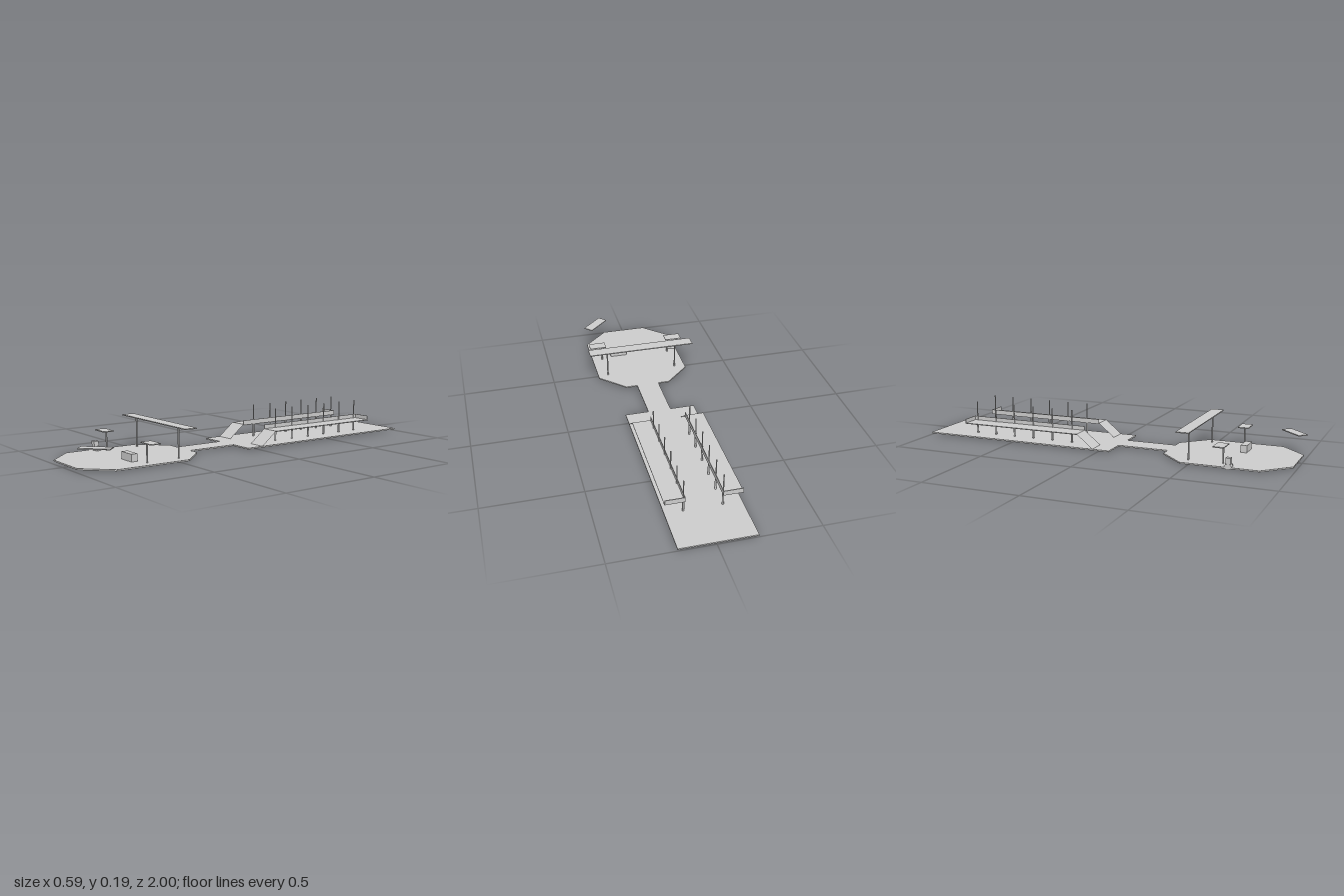
import * as THREE from 'three';

export function createModel() {
  const model = new THREE.Group();
  const grey = new THREE.MeshStandardMaterial({ color: 0xcccccc });
  grey.name = 'light grey';
  const greySheet = new THREE.MeshStandardMaterial({ color: 0xcccccc, side: THREE.DoubleSide });
  greySheet.name = 'light grey sheet';
  const FLOOR = 0.013;

  const add = (name, geometry, material = grey, parent = model) => {
    const mesh = new THREE.Mesh(geometry, material);
    mesh.name = name;
    parent.add(mesh);
    return mesh;
  };
  // Box given by its limits on each axis
  const box = (name, x0, x1, y0, y1, z0, z1, parent = model) => {
    const mesh = add(name, new THREE.BoxGeometry(x1 - x0, y1 - y0, z1 - z0), grey, parent);
    mesh.position.set((x0 + x1) / 2, (y0 + y1) / 2, (z0 + z1) / 2);
    return mesh;
  };
  const post = (name, x, z, y0, y1, r, parent = model) => {
    const mesh = add(name, new THREE.CylinderGeometry(r, r, y1 - y0, 12), grey, parent);
    mesh.position.set(x, (y0 + y1) / 2, z);
    return mesh;
  };

  // Ground slab: long platform, neck and octagonal plaza
  const outline = [
    [-0.196, -1], [0.18, -1], [0.18, 0.064], [0.055, 0.064], [0.055, 0.334], [0.117, 0.334],
    [0.247, 0.464], [0.247, 0.854], [0.117, 0.984], [-0.127, 0.984], [-0.26, 0.854],
    [-0.26, 0.464], [-0.127, 0.334], [-0.066, 0.334], [-0.066, 0.064], [-0.196, 0.064],
  ].map(([x, z]) => new THREE.Vector2(x, z));
  const slab = new THREE.ExtrudeGeometry(new THREE.Shape(outline), { depth: 0.007, bevelEnabled: false });
  slab.rotateX(Math.PI / 2).translate(0, FLOOR, 0);
  add('groundSlab', slab);

  // Two mirrored raised walkways, each with a ramp, edge walls and posts
  for (const side of [-1, 1]) {
    const walkway = new THREE.Group();
    walkway.name = side < 0 ? 'rightWalkway' : 'leftWalkway';
    walkway.position.x = -0.006;
    model.add(walkway);
    const span = (a, b) => (side < 0 ? [-b, -a] : [a, b]);
    box('deck', ...span(0.09, 0.189), 0.079, 0.083, -0.78, -0.115, walkway);
    box('innerParapet', ...span(0.09, 0.093), 0.083, 0.104, -0.78, -0.115, walkway);
    box('endParapet', ...span(0.09, 0.187), 0.083, 0.104, -0.78, -0.776, walkway);

    const ramp = new THREE.PlaneGeometry(0.1, Math.hypot(0.088, 0.07));
    ramp.rotateX(-Math.atan2(0.088, 0.07));
    add('ramp', ramp, greySheet, walkway).position.set(side * 0.1395, 0.048, -0.071);

    for (let i = 0; i < 6; i++) {
      const z = -0.187 - i * 0.1146;
      post('lowerPost', side * 0.095, z, FLOOR, 0.08, 0.005, walkway);
      post('upperPost', side * 0.095, z, 0.08, 0.185, 0.003, walkway);
    }
  }

  // Entrance gate across the plaza
  box('gateBeam', -0.296, 0.293, 0.165, 0.17, 0.453, 0.518);
  for (const x of [-0.201, 0.191]) {
    post('gatePost', x, 0.489, FLOOR, 0.165, 0.004);
    post('canopyPost', x, 0.663, FLOOR, 0.106, 0.004);
  }

  // Small canopies and the floating sign plate
  box('rightCanopy', -0.276, -0.184, 0.106, 0.111, 0.63, 0.686);
  box('leftCanopy', 0.171, 0.263, 0.106, 0.111, 0.63, 0.686);
  const plate = box('cornerPlate', 0.104, 0.256, 0.106, 0.111, 0.895, 0.95);
  plate.position.z = 0.922;
  plate.rotation.y = Math.PI / 4;

  // Bench and small stand on the plaza
  box('bench', 0.041, 0.135, FLOOR, 0.05, 0.682, 0.715);
  const stand = new THREE.Group();
  stand.name = 'stand';
  model.add(stand);
  const drum = add('standBase', new THREE.CylinderGeometry(0.0145, 0.0145, 0.027, 16), grey, stand);
  drum.rotation.z = Math.PI / 2;
  drum.scale.z = 1.25;
  drum.position.set(-0.2465, 0.0145, 0.702);
  box('standTop', -0.26, -0.233, 0.028, 0.058, 0.69, 0.715, stand);
  box('sideCabinet', -0.233, -0.21, FLOOR, 0.032, 0.69, 0.708, stand);
  box('cabinetStep', -0.228, -0.214, FLOOR, 0.023, 0.708, 0.716, stand);

  return model;
}
